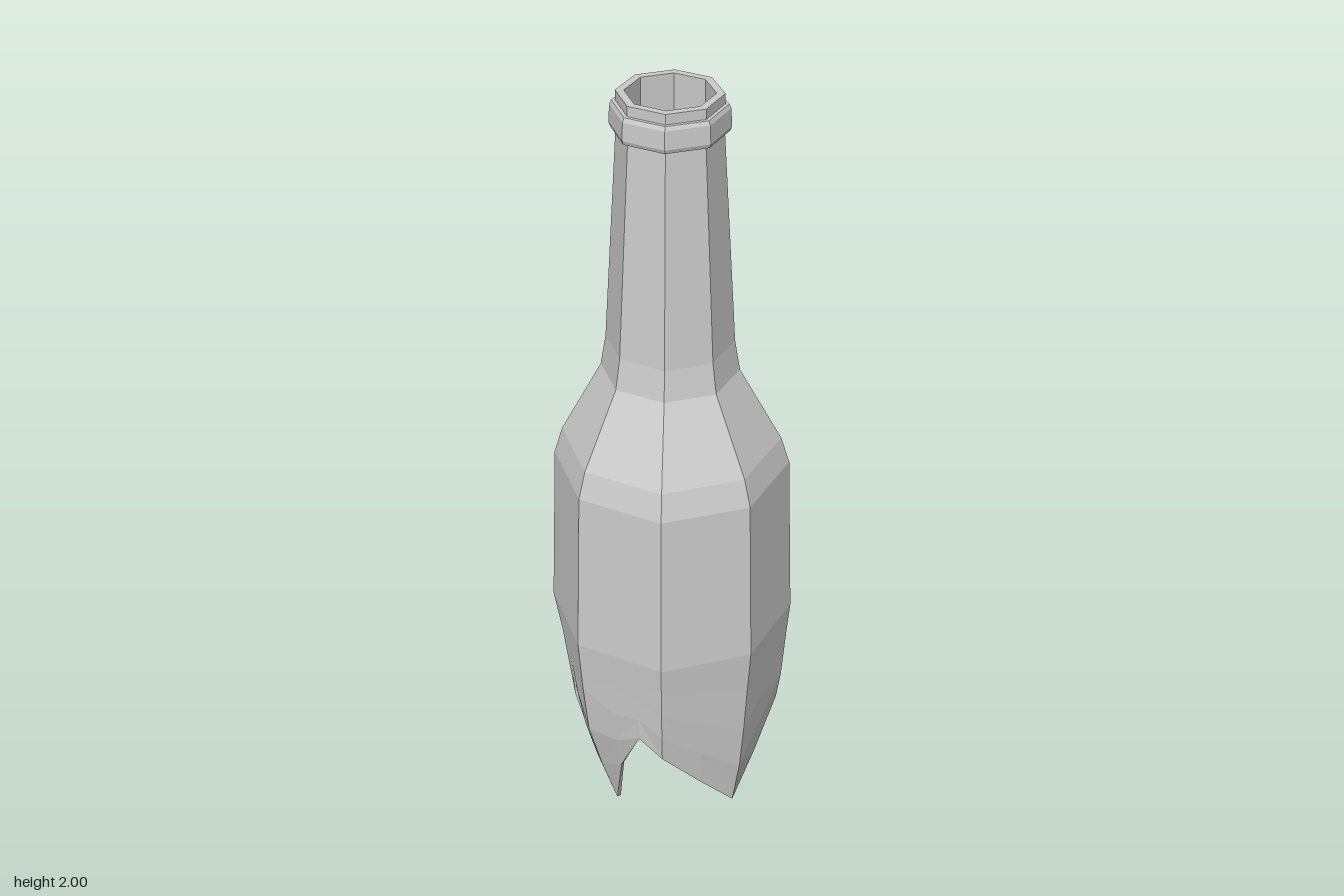
import * as THREE from 'three';

const SIDES = 8;
const WALL = 0.012;
const NECK_SHIFT = -0.005;
const rad = THREE.MathUtils.degToRad;

// Radius multiplier that turns a circle into an octagon with a corner every 45 degrees
const octagon = (deg) => {
  const a = ((deg % 45) + 45) % 45;
  return Math.cos(rad(22.5)) / Math.cos(rad(a - 22.5));
};

// Piecewise linear lookup in a list of [key, value]
function lookup(table, k) {
  for (let i = 1; i < table.length; i++) {
    const [k0, v0] = table[i - 1], [k1, v1] = table[i];
    if (k <= k1) return v0 + (v1 - v0) * (k - k0) / (k1 - k0);
  }
  return table[table.length - 1][1];
}

// Sweeps a [radius, y] profile, which may vary by angle, around the axis
function loft(name, angles, profileAt, material) {
  const pos = [], index = [];
  let rows = 0;
  for (const deg of angles) {
    const profile = profileAt(deg);
    rows = profile.length;
    for (const [r, y] of profile) {
      const R = r * octagon(deg);
      const shift = NECK_SHIFT * THREE.MathUtils.smoothstep(y, 1.03, 1.27);
      pos.push(R * Math.cos(rad(deg)), y, R * Math.sin(rad(deg)) + shift);
    }
  }
  for (let j = 0; j < angles.length; j++) {
    const a = j * rows, b = ((j + 1) % angles.length) * rows;
    for (let i = 0; i < rows - 1; i++) {
      index.push(a + i, a + i + 1, b + i + 1, a + i, b + i + 1, b + i);
    }
  }
  const geometry = new THREE.BufferGeometry();
  geometry.setAttribute('position', new THREE.Float32BufferAttribute(pos, 3));
  geometry.setIndex(index);
  const flat = geometry.toNonIndexed();
  flat.computeVertexNormals();
  const mesh = new THREE.Mesh(flat, material);
  mesh.name = name;
  return mesh;
}

export function createModel() {
  const group = new THREE.Group();
  group.name = 'brokenBottle';
  const glass = new THREE.MeshStandardMaterial({ color: 0xcccccc, flatShading: true });

  // Jagged break line on the +x half: [angle from +x towards +z, height]
  const breakLine = [
    [-90, 0.16], [-74, 0.33], [-62, 0.5], [-45, 0.575], [-35, 0.5], [-21, 0.33], [-14, 0.14],
    [0, 0.05], [16, 0.18], [32, 0.32], [45, 0.27], [67.5, 0.155], [90, 0.055],
  ];
  // Mirror it to the -x half, where the side spike is a little longer
  const mirrored = breakLine.slice(1, -1).reverse()
    .map(([a, y]) => [180 - a, a === 0 ? 0 : y]);
  const fullBreak = [...breakLine, ...mirrored];
  const edgeHeight = new Map(fullBreak);

  // Lower wall radius, with the side spikes bending inwards
  const lowerRadius = [[0, 0.245], [0.05, 0.25], [0.16, 0.273], [0.3, 0.288], [0.5, 0.303], [0.58, 0.31]];
  const wallRadius = (y, deg) =>
    lookup(lowerRadius, y) - 0.045 * Math.cos(rad(deg)) ** 2 * Math.max(0, (0.32 - y) / 0.27);

  // Body: down the inside, around the broken edge and up the outside
  const bodyProfile = (deg) => {
    const low = edgeHeight.get(deg);
    const outer = [0, 0.25, 0.5, 0.75, 1].map((f) => {
      const y = low + (0.58 - low) * f;
      return [wallRadius(y, deg), y];
    });
    outer.push([0.294, 1.02]);
    const inner = outer.map(([r, y]) => [r - WALL, y]).reverse();
    return [...inner, ...outer];
  };
  group.add(loft('brokenBody', fullBreak.map(([a]) => a), bodyProfile, glass));

  // Shoulder, neck and mouth rim
  const corners = Array.from({ length: SIDES }, (_, i) => i * 45);
  const neckOuter = [[0.294, 1.02], [0.273, 1.09], [0.17, 1.28], [0.157, 1.36], [0.125, 1.91], [0.125, 2]];
  const neckInner = [[0.105, 2], [0.107, 1.91], [0.142, 1.36], [0.156, 1.28], [0.261, 1.08], [0.294 - WALL, 1.02]];
  group.add(loft('shoulderAndNeck', corners, () => [...neckOuter, ...neckInner], glass));

  // Raised collar below the mouth
  const collar = [[0.122, 1.91], [0.137, 1.91], [0.141, 1.92], [0.139, 1.965], [0.134, 1.975], [0.122, 1.975]];
  group.add(loft('collar', corners, () => collar, glass));

  return group;
}
